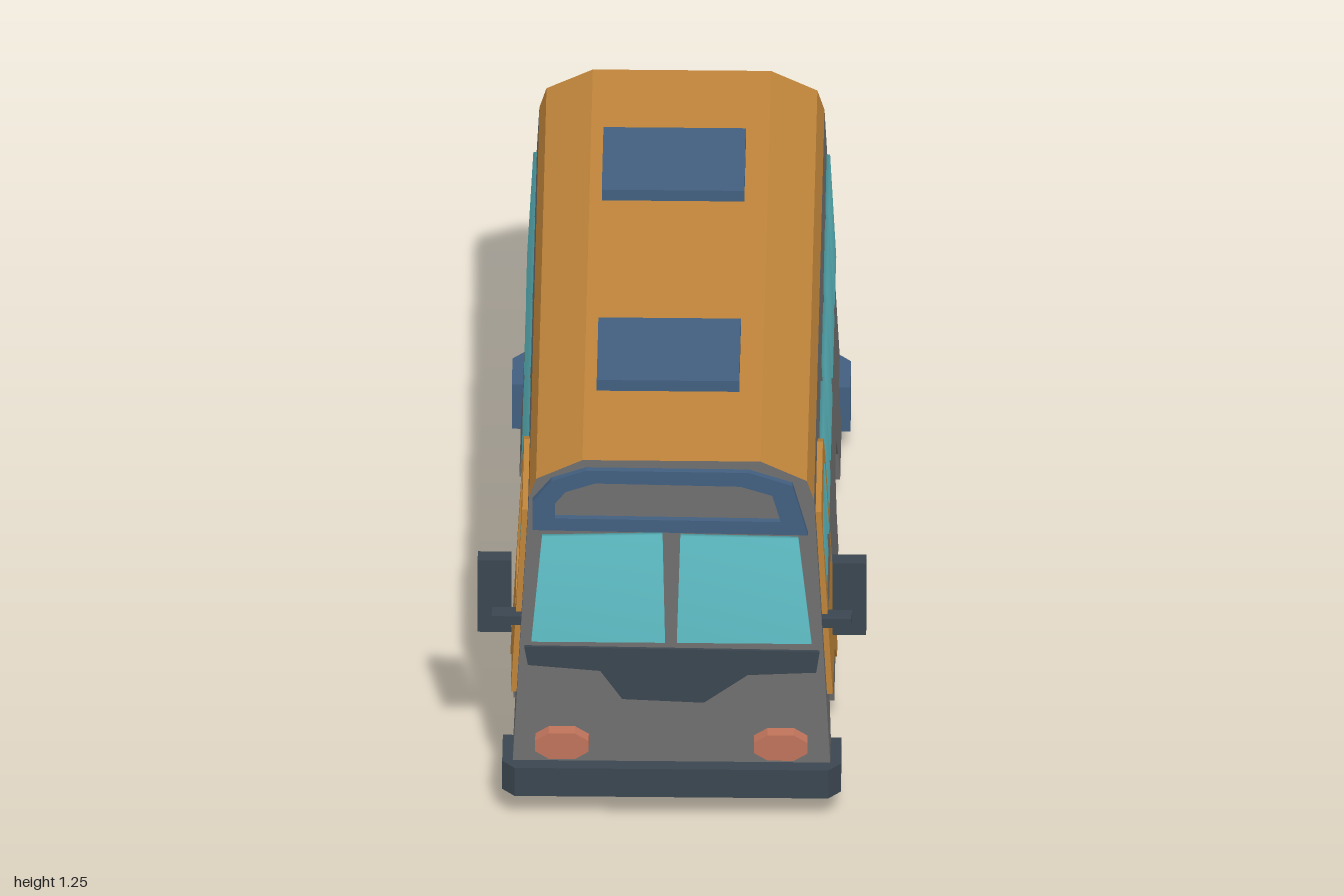
import * as THREE from 'three';
import { mergeVertices } from 'three/addons/utils/BufferGeometryUtils.js';

const mat = (color) => new THREE.MeshStandardMaterial({ color });
const grey = mat(0x707070), orange = mat(0xc0853a), blue = mat(0x425f7f);
const dark = mat(0x3b4650), glass = mat(0x62c4cc), lamp = mat(0xc0735a), rubber = mat(0x3c3c3c);

const FRONT = 0.96, BACK = -0.985;
// Half width of the tapering body at height y
const halfWidth = (y) => 0.45 - 0.051 * (y - 0.1);

const shapeOf = (pts) => new THREE.Shape(pts.map(([x, y]) => new THREE.Vector2(x, y)));
const extrude = (shape, depth) => new THREE.ExtrudeGeometry(shape, { depth, bevelEnabled: false });

// Rounds the shading over a whole pane
function softened(geo) {
  geo.deleteAttribute('normal');
  geo.deleteAttribute('uv');
  const merged = mergeVertices(geo);
  merged.computeVertexNormals();
  return merged;
}

// Plate lying on the sloping side wall; points are [z, y], side is +1 or -1
function sidePlate(pts, side, depth, hole) {
  const turn = (list) => list.map(([z, y]) => [-side * z, y]);
  const shape = shapeOf(turn(pts));
  if (hole) shape.holes.push(shapeOf(turn(hole)));
  const geo = extrude(shape, depth).rotateY(side * Math.PI / 2);
  const p = geo.attributes.position;
  for (let i = 0; i < p.count; i++) p.setX(i, p.getX(i) + side * (halfWidth(p.getY(i)) - 0.004));
  geo.computeVertexNormals();
  return geo;
}

// Plate on the front wall; points are [x, y]
function frontPlate(pts, depth, hole) {
  const shape = shapeOf(pts);
  if (hole) shape.holes.push(shapeOf(hole));
  return extrude(shape, depth + 0.004).translate(0, 0, FRONT - 0.004);
}

// Bumper wrapping around one end, with chamfered corners
function bumper(y, height) {
  const half = [[0.475, 0.835], [0.475, 0.965], [0.44, 1]];
  const inner = [[0.425, 0.945], [0.425, 0.835]];
  const flip = (list) => list.map(([x, z]) => [-x, z]).reverse();
  const pts = [...half, ...flip(half), ...flip(inner), ...inner];
  return extrude(shapeOf(pts.map(([x, z]) => [x, -z])), height).rotateX(-Math.PI / 2).translate(0, y, 0);
}

export function createModel() {
  const bus = new THREE.Group();
  bus.name = 'bus';
  const add = (name, geo, material, x = 0, y = 0, z = 0) => {
    const mesh = new THREE.Mesh(geo, material);
    mesh.name = name;
    mesh.position.set(x, y, z);
    bus.add(mesh);
    return mesh;
  };
  const axles = [0.685, -0.415];

  // Body: side outline with wheel arches, extruded across and tapered
  const outline = [[FRONT, 1.08], [FRONT, 0.1]];
  for (const c of axles) {
    for (const [dz, y] of [[0.167, 0.1], [0.147, 0.2], [0.072, 0.295], [-0.073, 0.295], [-0.147, 0.2], [-0.167, 0.1]])
      outline.push([c + dz, y]);
  }
  outline.push([BACK, 0.1], [BACK, 1.08]);
  const body = extrude(shapeOf(outline.map(([z, y]) => [-z, y])), 1).translate(0, 0, -0.5).rotateY(Math.PI / 2);
  const p = body.attributes.position;
  for (let i = 0; i < p.count; i++) p.setX(i, Math.sign(p.getX(i)) * halfWidth(p.getY(i)));
  body.computeVertexNormals();
  add('body', body, grey);

  // Roof: orange shell with grey ends
  const roof = [[-0.4, 1.08], [0.4, 1.08], [0.38, 1.145], [0.25, 1.21], [-0.25, 1.21], [-0.38, 1.145]];
  add('roof', extrude(shapeOf(roof), FRONT - BACK), [grey, orange], 0, 0, BACK);
  for (const z of [0.465, -0.4825])
    add('roofHatch', new THREE.BoxGeometry(0.4, 0.036, 0.312), blue, -0.015, 1.233, z);

  // Side windows, doors, wheels and mirrors
  const windows = [
    [[0.45, 0.94], [0.175, 0.95], [0.14, 0.61], [0.445, 0.615]],
    [[0.07, 0.935], [-0.23, 0.94], [-0.24, 0.615], [0.08, 0.615]],
    [[-0.295, 0.94], [-0.63, 0.95], [-0.62, 0.62], [-0.325, 0.62]],
    [[-0.69, 0.945], [-0.945, 0.955], [-0.935, 0.615], [-0.665, 0.625]],
  ];
  const doorWindow = [[0.89, 0.935], [0.61, 0.957], [0.56, 0.94], [0.54, 0.893], [0.525, 0.615], [0.825, 0.615]];
  const door = [[0.915, 1.01], [0.58, 1.02], [0.52, 0.99], [0.49, 0.905], [0.46, 0.25], [0.535, 0.26], [0.62, 0.35], [0.905, 0.385]];
  const wheel = new THREE.CylinderGeometry(0.142, 0.142, 0.145, 12).rotateZ(Math.PI / 2);
  for (const side of [1, -1]) {
    for (const w of windows) add('sideWindow', softened(sidePlate(w, side, 0.014)), glass);
    add('doorWindow', softened(sidePlate(doorWindow, side, 0.014)), glass);
    add('door', sidePlate(door, side, 0.02, doorWindow), orange);
    for (const z of axles) add('wheel', wheel, rubber, side * 0.352, 0.142, z);
    add('mirror', new THREE.BoxGeometry(0.095, 0.242, 0.046), dark, side * 0.4975, 0.696, 0.865);
    add('mirrorArm', new THREE.BoxGeometry(0.085, 0.03, 0.047), dark, side * 0.4625, 0.645, 0.911);
  }

  // Windscreen panes
  for (const pane of [
    [[-0.363, 0.957], [-0.025, 0.967], [-0.018, 0.6], [-0.393, 0.6]],
    [[0.025, 0.963], [0.356, 0.957], [0.393, 0.6], [0.015, 0.6]],
  ]) add('windscreen', softened(frontPlate(pane, 0.012)), glass);

  // Destination frame above the windscreen
  add('signFrame', frontPlate(
    [[-0.39, 0.983], [0.383, 0.973], [0.34, 1.14], [0.217, 1.183], [-0.24, 1.186], [-0.337, 1.15], [-0.39, 1.08]], 0.018,
    [[-0.327, 1.023], [0.307, 1.017], [0.283, 1.106], [0.194, 1.136], [-0.214, 1.143], [-0.297, 1.113], [-0.327, 1.073]]), blue);

  // Grille panel
  add('grille', frontPlate([[-0.413, 0.58], [0.416, 0.571], [0.406, 0.5], [0.214, 0.49],
    [0.091, 0.395], [-0.138, 0.405], [-0.2, 0.5], [-0.403, 0.518]], 0.008), dark);

  // Headlights
  const lens = [[-0.075, -0.018], [-0.037, -0.043], [0.037, -0.043], [0.075, -0.018],
    [0.075, 0.018], [0.037, 0.043], [-0.037, 0.043], [-0.075, 0.018]];
  for (const side of [1, -1]) add('headlight', frontPlate(lens, 0.037), lamp, side * 0.307, 0.263, 0);

  // Bumpers
  add('frontBumper', bumper(0.095, 0.095), dark);
  add('rearBumper', bumper(0.09, 0.15), blue).rotation.y = Math.PI;

  return bus;
}
